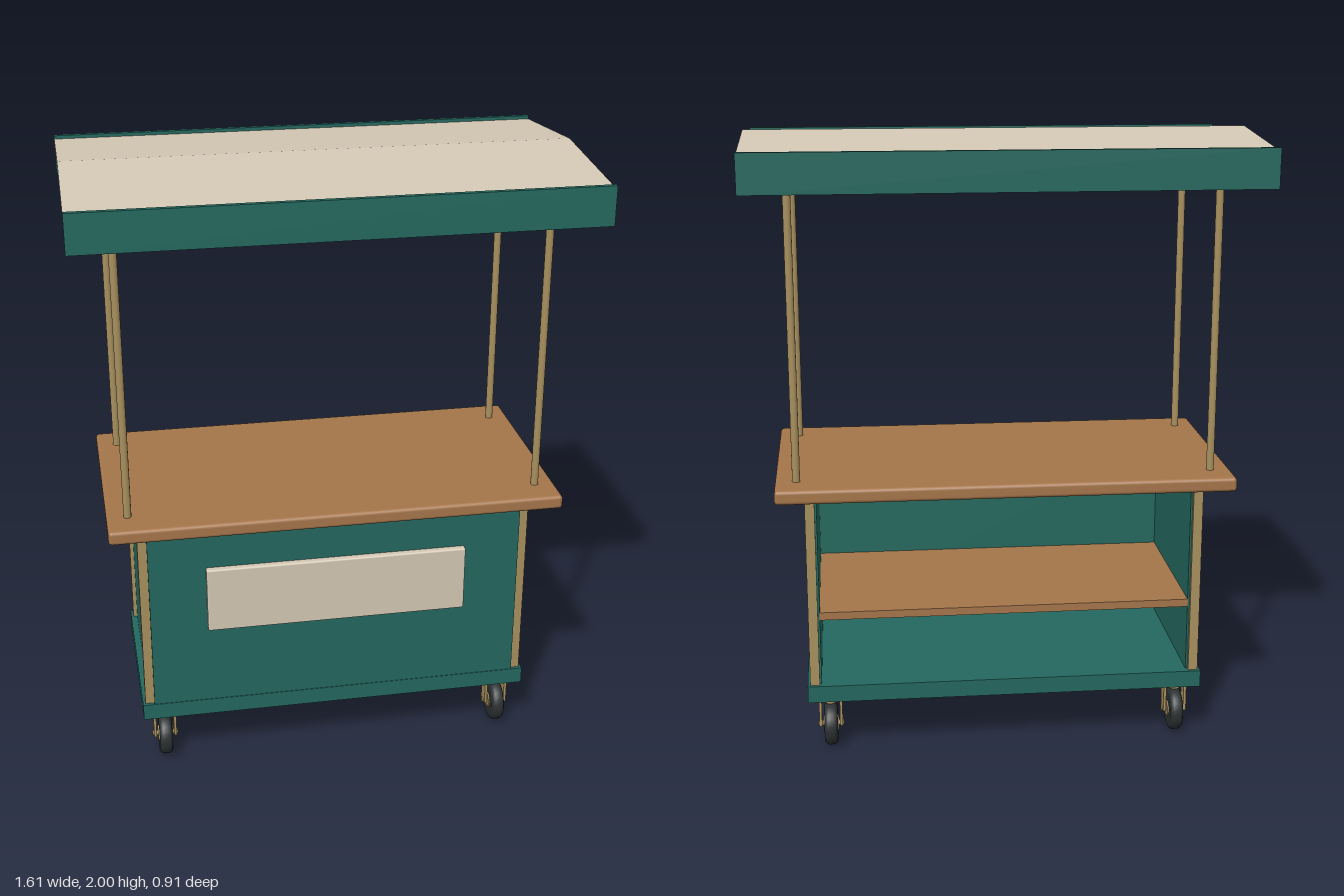
import * as THREE from 'three';
import { RoundedBoxGeometry } from 'three/addons/geometries/RoundedBoxGeometry.js';

export function createModel() {
  const model = new THREE.Group();
  model.name = 'marketCart';
  const paint = (name, color) => {
    const m = new THREE.MeshStandardMaterial({ color });
    m.name = name;
    return m;
  };
  const teal = paint('tealPaint', 0x24685f);
  const wood = paint('warmWood', 0xa5754a);
  const cream = paint('creamCanvas', 0xd4c8b4);
  const brass = paint('brass', 0xa8905e);
  const rubber = paint('darkRubber', 0x2b3031);

  const add = (name, geometry, material, x = 0, y = 0, z = 0, parent = model) => {
    const mesh = new THREE.Mesh(geometry, material);
    mesh.name = name;
    mesh.position.set(x, y, z);
    parent.add(mesh);
    return mesh;
  };
  // Box given by its extents along each axis
  const box = (name, material, x0, x1, y0, y1, z0, z1, radius = 0) => {
    const size = [x1 - x0, y1 - y0, z1 - z0];
    const geometry = radius
      ? new RoundedBoxGeometry(...size, 3, radius)
      : new THREE.BoxGeometry(...size);
    return add(name, geometry, material, (x0 + x1) / 2, (y0 + y1) / 2, (z0 + z1) / 2);
  };

  // Cabinet, open at the back
  box('base', teal, -0.65, 0.65, 0.18, 0.236, -0.31, 0.31);
  box('frontPanel', teal, -0.612, 0.612, 0.236, 0.875, 0.282, 0.308);
  box('signBoard', cream, -0.427, 0.427, 0.513, 0.737, 0.306, 0.332, 0.006);
  box('shelf', wood, -0.605, 0.605, 0.457, 0.483, -0.285, 0.282);
  box('counter', wood, -0.732, 0.732, 0.88, 0.926, -0.38, 0.38, 0.012);

  // Tyre profile, turned about the axle
  const tyreProfile = [
    [0.026, -0.02], [0.058, -0.022], [0.067, -0.018], [0.072, -0.009],
    [0.072, 0.009], [0.067, 0.018], [0.058, 0.022], [0.026, 0.02],
  ].map(([r, h]) => new THREE.Vector2(r, h));
  const tyreGeometry = new THREE.LatheGeometry(tyreProfile, 32).rotateZ(Math.PI / 2);
  const hubGeometry = new THREE.CylinderGeometry(0.026, 0.026, 0.05, 20).rotateZ(Math.PI / 2);
  const axleGeometry = new THREE.CylinderGeometry(0.009, 0.009, 0.085, 12).rotateZ(Math.PI / 2);
  const stemGeometry = new THREE.CylinderGeometry(0.018, 0.018, 0.034, 16);
  const forkGeometry = new THREE.BoxGeometry(0.009, 0.105, 0.042);
  const poleGeometry = new THREE.CylinderGeometry(0.0125, 0.0125, 1.01, 12);

  for (const sx of [-1, 1]) {
    const a = sx * 0.604, b = sx * 0.628;
    box('sidePanel', teal, Math.min(a, b), Math.max(a, b), 0.236, 0.875, -0.285, 0.285);
    for (const sz of [-1, 1]) {
      // Corner trim and canopy pole
      const trim = new THREE.BoxGeometry(0.031, 0.64, 0.031);
      add('cornerPost', trim, brass, sx * 0.626, 0.556, sz * 0.283);
      add('canopyPole', poleGeometry, brass, sx * 0.665, 1.43, sz * 0.275);

      // Caster
      const caster = new THREE.Group();
      caster.name = 'caster';
      caster.position.set(sx * 0.578, 0.072, sz * 0.236);
      model.add(caster);
      add('tyre', tyreGeometry, rubber, 0, 0, 0, caster);
      add('hub', hubGeometry, brass, 0, 0, 0, caster);
      add('axle', axleGeometry, brass, 0, 0, 0, caster);
      add('stem', stemGeometry, brass, 0, 0.092, 0, caster);
      for (const side of [-1, 1]) {
        add('forkPlate', forkGeometry, brass, side * 0.034, 0.05, 0, caster);
      }
    }
  }

  // Pitched canopy: cross-section in z and y, extruded along x
  const roof = new THREE.Shape([
    [-0.44, 1.94], [0, 1.98], [0.44, 1.94], [0.44, 1.96], [0, 2], [-0.44, 1.96],
  ].map(([z, y]) => new THREE.Vector2(z, y)));
  const roofGeometry = new THREE.ExtrudeGeometry(roof, { depth: 1.606, bevelEnabled: false });
  roofGeometry.translate(0, 0, -0.803).rotateY(Math.PI / 2);
  add('canopy', roofGeometry, cream);
  box('frontValance', teal, -0.803, 0.803, 1.848, 1.971, 0.437, 0.454);
  box('backValance', teal, -0.803, 0.803, 1.848, 1.971, -0.454, -0.437);

  return model;
}
